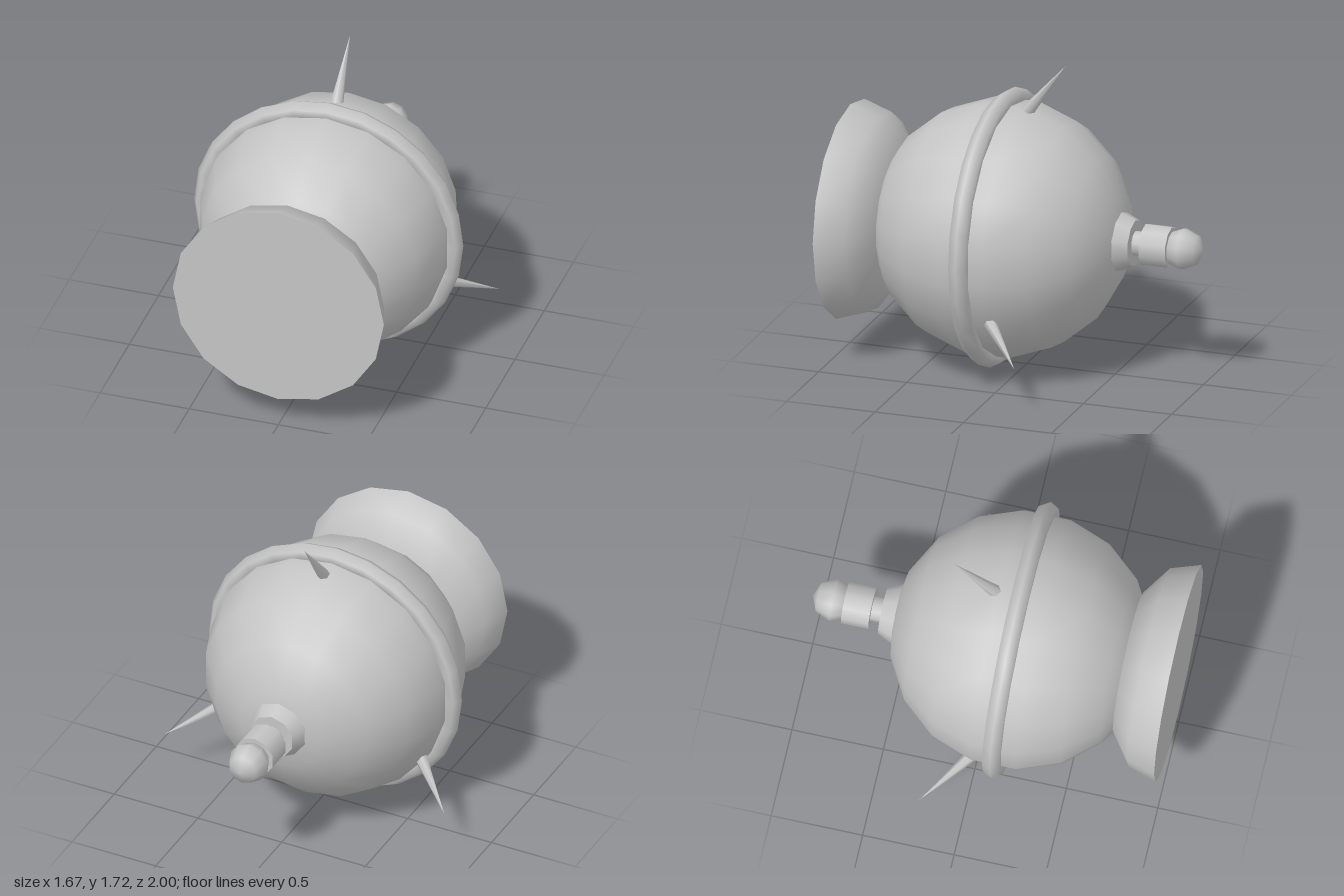
import * as THREE from 'three';
import { toCreasedNormals } from 'three/addons/utils/BufferGeometryUtils.js';

export function createModel() {
  const model = new THREE.Group();
  const grey = new THREE.MeshStandardMaterial({ color: 0xc4c4c4 });
  grey.name = 'grey';

  // All parts sit on one axis running front to back at this height
  const axisY = 0.755;

  function add(name, geometry, z = 0) {
    const mesh = new THREE.Mesh(geometry, grey);
    mesh.name = name;
    mesh.position.set(0, axisY, z);
    model.add(mesh);
    return mesh;
  }

  // Sphere with its poles on the z axis and a vertex at the top
  const ball = (r, sides, rings) =>
    new THREE.SphereGeometry(r, sides, rings).rotateY(Math.PI / 2).rotateX(-Math.PI / 2);

  // Cylinder or cone from zFront (rFront) back to zBack (rBack)
  function turned(name, rFront, rBack, zFront, zBack, sides) {
    const g = new THREE.CylinderGeometry(rFront, rBack, zFront - zBack, sides);
    add(name, g.rotateX(Math.PI / 2), (zFront + zBack) / 2);
  }

  // Body and the ridge around its middle
  add('body', ball(0.7, 18, 9), 0.137);
  add('ridge', new THREE.TorusGeometry(0.7, 0.055, 6, 24), 0.137);

  // Flat-faced front cap
  const profile = [[0, 0.727], [0.385, 0.727], [0.54, 0.84], [0.592, 1], [0, 1]]
    .map(([r, z]) => new THREE.Vector2(r, z));
  add('frontCap', toCreasedNormals(new THREE.LatheGeometry(profile, 16).rotateX(Math.PI / 2), 0.8));

  // Tail fitting: flared base, neck, collar and end knob
  turned('tailBase', 0.163, 0.127, -0.5 - 0.035, -0.615, 10);
  turned('tailSocket', 0.163, 0.163, -0.48, -0.535, 10);
  turned('tailNeck', 0.068, 0.068, -0.6, -0.69, 10);
  turned('tailCollar', 0.114, 0.114, -0.672, -0.822, 10);
  add('tailKnob', ball(0.114, 10, 4), -0.886);

  // Three swept-back spikes, one on top and one on each lower side
  const up = new THREE.Vector3(0, 1, 0);
  for (let i = 0; i < 3; i++) {
    const a = Math.PI / 2 + (i * Math.PI * 2) / 3;
    const at = (r, z) => new THREE.Vector3(r * Math.cos(a), axisY + r * Math.sin(a), z);
    const base = at(0.65, 0.014), tip = at(0.965, -0.23);
    const spike = add('spike' + (i + 1), new THREE.ConeGeometry(0.038, base.distanceTo(tip), 6));
    spike.position.copy(base).lerp(tip, 0.5);
    spike.quaternion.setFromUnitVectors(up, tip.sub(base).normalize());
  }

  return model;
}
